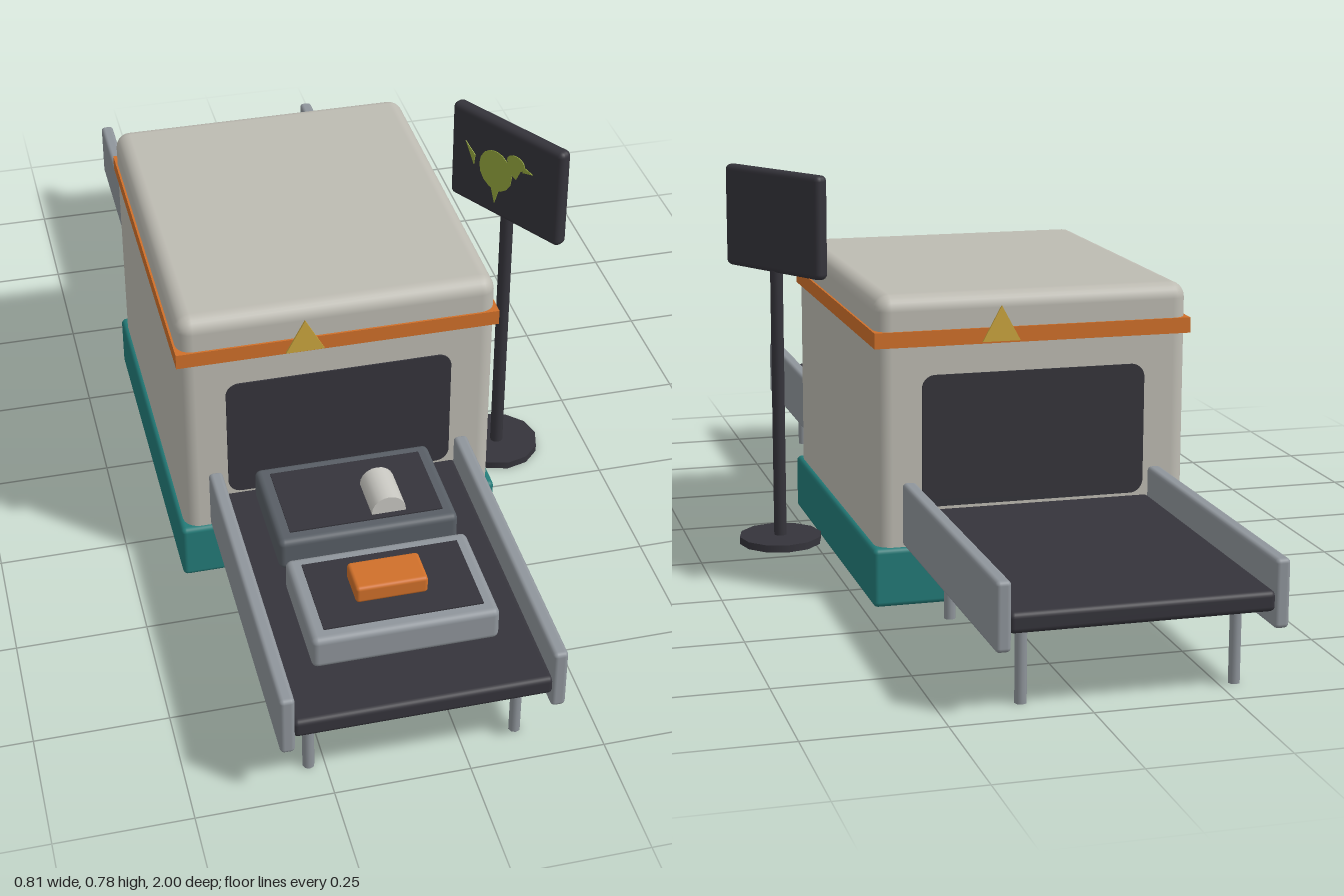
import * as THREE from 'three';
import { RoundedBoxGeometry } from 'three/addons/geometries/RoundedBoxGeometry.js';

const mat = (name, color) => Object.assign(new THREE.MeshStandardMaterial({ color }), { name });

export function createModel() {
  const M = {
    shell: mat('warm grey shell', 0xbdbbb2),
    teal: mat('teal', 0x237b78),
    orange: mat('orange', 0xd0702a),
    dark: mat('charcoal', 0x35343b),
    metal: mat('grey metal', 0x8f959b),
    darkTray: mat('dark grey tray', 0x585e65),
    yellow: mat('warning yellow', 0xcba63e),
    green: mat('screen green', 0x95a83e),
    white: mat('off white', 0xc9c8c2),
  };
  const root = new THREE.Group();
  root.name = 'baggageScanner';

  const add = (parent, name, geometry, material, x = 0, y = 0, z = 0) => {
    const mesh = new THREE.Mesh(geometry, material);
    mesh.name = name;
    mesh.position.set(x, y, z);
    parent.add(mesh);
    return mesh;
  };
  // Rounded box given by its extents
  const block = (parent, name, material, [x0, x1], [y0, y1], [z0, z1], r) =>
    add(parent, name, new RoundedBoxGeometry(x1 - x0, y1 - y0, z1 - z0, 3, r), material,
      (x0 + x1) / 2, (y0 + y1) / 2, (z0 + z1) / 2);
  const plate = (shape, depth = 0.004) =>
    new THREE.ExtrudeGeometry(shape, { depth, bevelEnabled: false, curveSegments: 8 });
  const polygon = (points) => new THREE.Shape(points.map(([x, y]) => new THREE.Vector2(x, y)));
  const roundedRect = (w, h, r) => {
    const s = new THREE.Shape(), a = w / 2 - r, b = h / 2 - r;
    s.absarc(a, b, r, 0, Math.PI / 2);
    s.absarc(-a, b, r, Math.PI / 2, Math.PI);
    s.absarc(-a, -b, r, Math.PI, Math.PI * 1.5);
    s.absarc(a, -b, r, Math.PI * 1.5, Math.PI * 2);
    return s;
  };

  // Housing, plinth and trim band
  const cx = -0.0875;
  block(root, 'housing', M.shell, [-0.395, 0.22], [0.08, 0.598], [-0.365, 0.365], 0.03);
  block(root, 'plinth', M.teal, [-0.404, 0.229], [0, 0.115], [-0.373, 0.373], 0.01);
  add(root, 'trimBand', new THREE.BoxGeometry(0.623, 0.03, 0.738), M.orange, cx, 0.516, 0);

  // Each end: tunnel mouth, warning sign, rails and legs; the back is the front turned round
  for (const [end, turn] of [['front', 0], ['back', Math.PI]]) {
    const g = new THREE.Group();
    g.name = end + 'End';
    g.position.x = cx;
    g.rotation.y = turn;
    root.add(g);
    add(g, 'tunnelMouth', plate(roundedRect(0.44, 0.255, 0.026)), M.dark, 0, 0.318, 0.364);
    add(g, 'warningSign', plate(polygon([[-0.037, 0], [0.037, 0], [0, 0.068]])), M.yellow,
      -0.067, 0.505, 0.37);
    for (const s of [-1, 1]) {
      const x = s * 0.2445;
      block(g, 'sideRail', M.metal, [x - 0.0135, x + 0.0135], [0.117, 0.24], [0.36, 1], 0.008);
      for (const z of [0.463, 0.922])
        add(g, 'leg', new THREE.CylinderGeometry(0.011, 0.011, 0.15, 8), M.metal,
          s * 0.192, 0.075, z);
    }
  }

  // Conveyor belt runs the whole length
  block(root, 'belt', M.dark, [-0.322, 0.147], [0.147, 0.184], [-0.998, 0.998], 0.01);

  // Trays with their contents
  for (const [name, z, material] of [['frontTray', 0.765, M.metal], ['rearTray', 0.495, M.darkTray]]) {
    block(root, name, material, [-0.26, 0.083], [0.184, 0.25], [z - 0.113, z + 0.113], 0.012);
    add(root, name + 'Lining', new THREE.BoxGeometry(0.293, 0.005, 0.175), M.dark, cx, 0.25, z);
  }
  block(root, 'parcel', M.orange, [-0.163, -0.03], [0.253, 0.288], [0.729, 0.804], 0.007);
  const bottle = add(root, 'bottle', new THREE.CylinderGeometry(0.033, 0.033, 0.092, 20), M.white,
    -0.042, 0.255, 0.525);
  bottle.rotation.x = Math.PI / 2;

  // Monitor on a pole, turned towards the operator
  const stand = new THREE.Group();
  stand.name = 'monitorStand';
  stand.position.set(0.316, 0, 0.113);
  root.add(stand);
  add(stand, 'foot', new THREE.CylinderGeometry(0.086, 0.086, 0.015, 12), M.dark, 0, 0.0075, 0);
  add(stand, 'pole', new THREE.CylinderGeometry(0.013, 0.013, 0.58, 10), M.dark, 0, 0.295, 0);
  const monitor = new THREE.Group();
  monitor.name = 'monitor';
  monitor.position.y = 0.675;
  monitor.rotation.y = -Math.PI / 3;
  stand.add(monitor);
  add(monitor, 'screen', new RoundedBoxGeometry(0.29, 0.21, 0.03, 3, 0.012), M.dark);

  // Bird silhouette shown on the screen
  const oval = (rx, ry) => new THREE.Shape().absellipse(0, 0, rx, ry, 0, Math.PI * 2);
  const picture = [
    ['birdBody', oval(0.043, 0.044), -0.022, -0.001],
    ['birdHead', oval(0.023, 0.016), 0.03, 0.038],
    ['birdNeck', polygon([[0, 0], [0.032, -0.016], [0.045, 0.012], [0.012, 0.022]]), 0, 0.018],
    ['birdBeak', polygon([[0, -0.006], [0.026, 0], [0, 0.008]]), 0.049, 0.031],
    ['birdTail', polygon([[0, 0], [0.024, -0.045], [0.027, -0.022]]), -0.104, 0.034],
    ['birdFoot', polygon([[0, 0], [0.013, 0.042], [-0.013, 0.042]]), -0.022, -0.075],
  ];
  for (const [name, shape, x, y] of picture)
    add(monitor, name, plate(shape, 0.002), M.green, x, y, 0.0145);

  return root;
}
